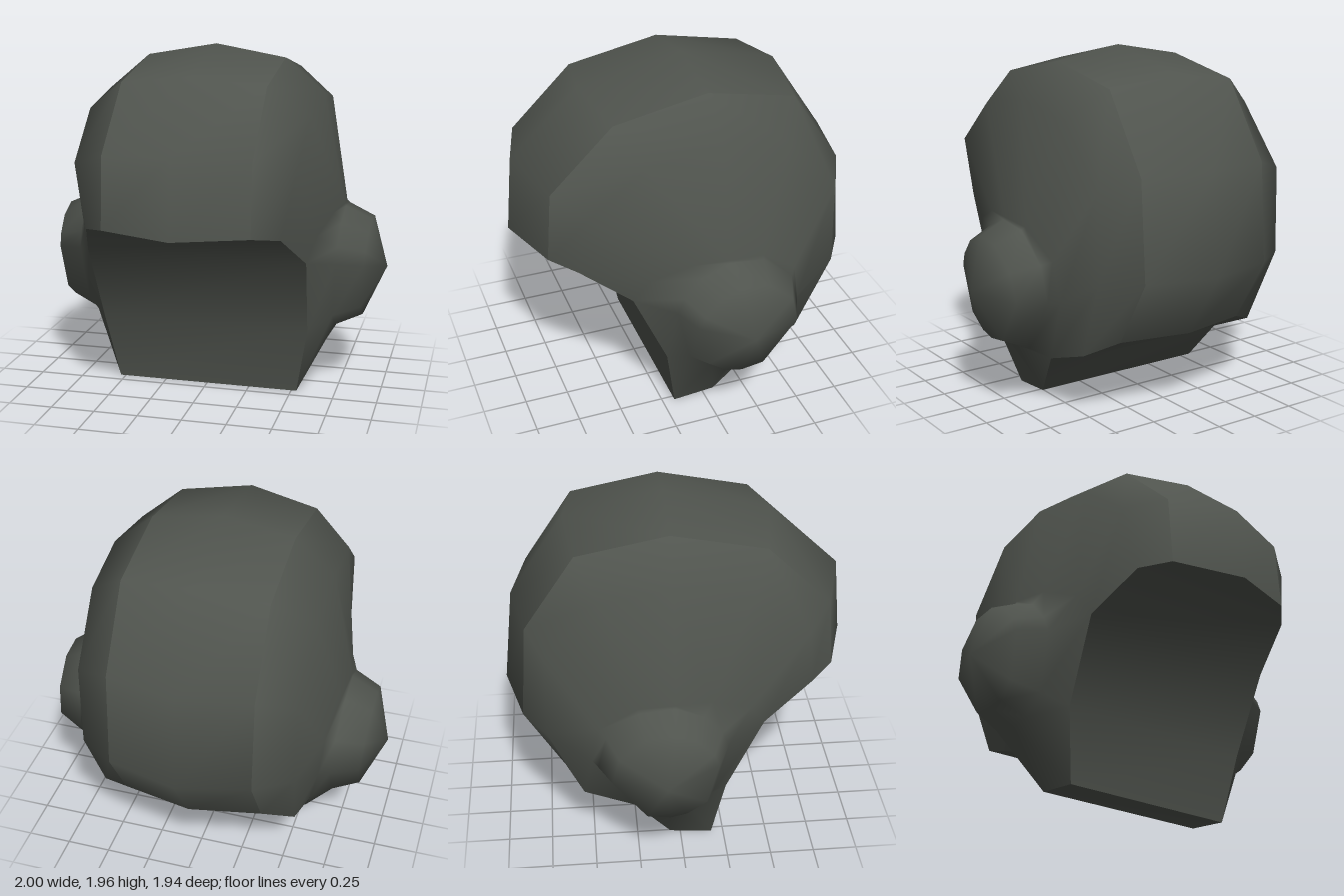
import * as THREE from 'three';
import { mergeVertices } from 'three/addons/utils/BufferGeometryUtils.js';

const mirror = row => row.map(([x, y, z]) => [-x, y, z]);

// Smooth surface through rows of points
function loft(rows) {
  const out = [];
  for (let r = 0; r < rows.length - 1; r++) {
    for (let i = 0; i < rows[r].length - 1; i++) {
      const a = rows[r][i], b = rows[r][i + 1], c = rows[r + 1][i + 1], d = rows[r + 1][i];
      out.push(...a, ...d, ...c, ...a, ...c, ...b);
    }
  }
  const g = new THREE.BufferGeometry();
  g.setAttribute('position', new THREE.Float32BufferAttribute(out, 3));
  return g;
}

function smooth(...geometries) {
  const all = geometries.flatMap(g => Array.from(g.attributes.position.array));
  let g = new THREE.BufferGeometry();
  g.setAttribute('position', new THREE.Float32BufferAttribute(all, 3));
  g = mergeVertices(g, 1e-4);
  g.computeVertexNormals();
  return g;
}

export function createModel() {
  const group = new THREE.Group();
  const shell = new THREE.MeshStandardMaterial({ color: 0x50544e });
  shell.name = 'dark grey green';
  const add = (name, geometry) => {
    const mesh = new THREE.Mesh(geometry, shell);
    mesh.name = name;
    group.add(mesh);
  };

  // Arcs from the front brim over the top to the nape
  const centre = [[0, 1.05, 0.97], [0, 1.48, 0.93], [0, 1.84, 0.54], [0, 1.96, -0.05],
    [0, 1.84, -0.6], [0, 1.37, -0.91], [0, 0.82, -0.97], [0, 0.45, -0.73]];
  const ridge = [[0.4, 1.06, 0.85], [0.4, 1.45, 0.82], [0.4, 1.79, 0.47], [0.4, 1.89, -0.05],
    [0.4, 1.79, -0.55], [0.4, 1.37, -0.83], [0.4, 0.82, -0.87], [0.4, 0.45, -0.65]];
  const shoulder = [[0.53, 1.03, 0.72], [0.6, 1.38, 0.68], [0.615, 1.63, 0.37], [0.625, 1.7, -0.05],
    [0.615, 1.63, -0.43], [0.6, 1.3, -0.73], [0.6, 0.82, -0.74], [0.57, 0.38, -0.55]];
  const flank = [[0.62, 0.84, 0.45], [0.66, 0.97, 0.37], [0.72, 1.06, 0.15], [0.755, 1.07, -0.05],
    [0.74, 1.05, -0.25], [0.7, 0.9, -0.46], [0.68, 0.68, -0.5], [0.6, 0.29, -0.27]];

  // Lower corners of the cheek
  const backFoot = [0.53, 0.02, -0.06], frontFoot = [0.53, 0, 0.18], jaw = [0.6, 0.39, 0.25];

  // Ear cup: rings shrinking to a blunt tip
  const base = [...flank, backFoot, frontFoot, jaw, flank[0]];
  const ring = (radius, x, lean) => base.map(p => {
    const dy = p[1] - 0.7, dz = p[2] + 0.11, l = Math.hypot(dy, dz);
    return [x + lean * dy / l, 0.7 + radius * dy / l, -0.11 + radius * dz / l];
  });
  const ear = [base, ring(0.36, 0.74, 0.02), ring(0.29, 0.89, 0.02), base.map(() => [1, 0.7, -0.11])];
  const side = [ridge, shoulder, flank];

  add('crown', smooth(loft([mirror(ridge), centre, ridge])));
  add('leftSide', smooth(loft(side), loft(ear)));
  add('rightSide', smooth(loft(side.map(mirror).reverse()), loft(ear.map(mirror).reverse())));

  // Concave face opening and underside
  const faceEdge = [centre[0], ridge[0], shoulder[0], flank[0], jaw, frontFoot];
  add('faceOpening', smooth(loft([faceEdge, mirror(faceEdge)])));
  const underEdge = [centre[7], ridge[7], shoulder[7], flank[7], backFoot, frontFoot];
  add('underside', smooth(loft([mirror(underEdge), underEdge])));
  return group;
}
